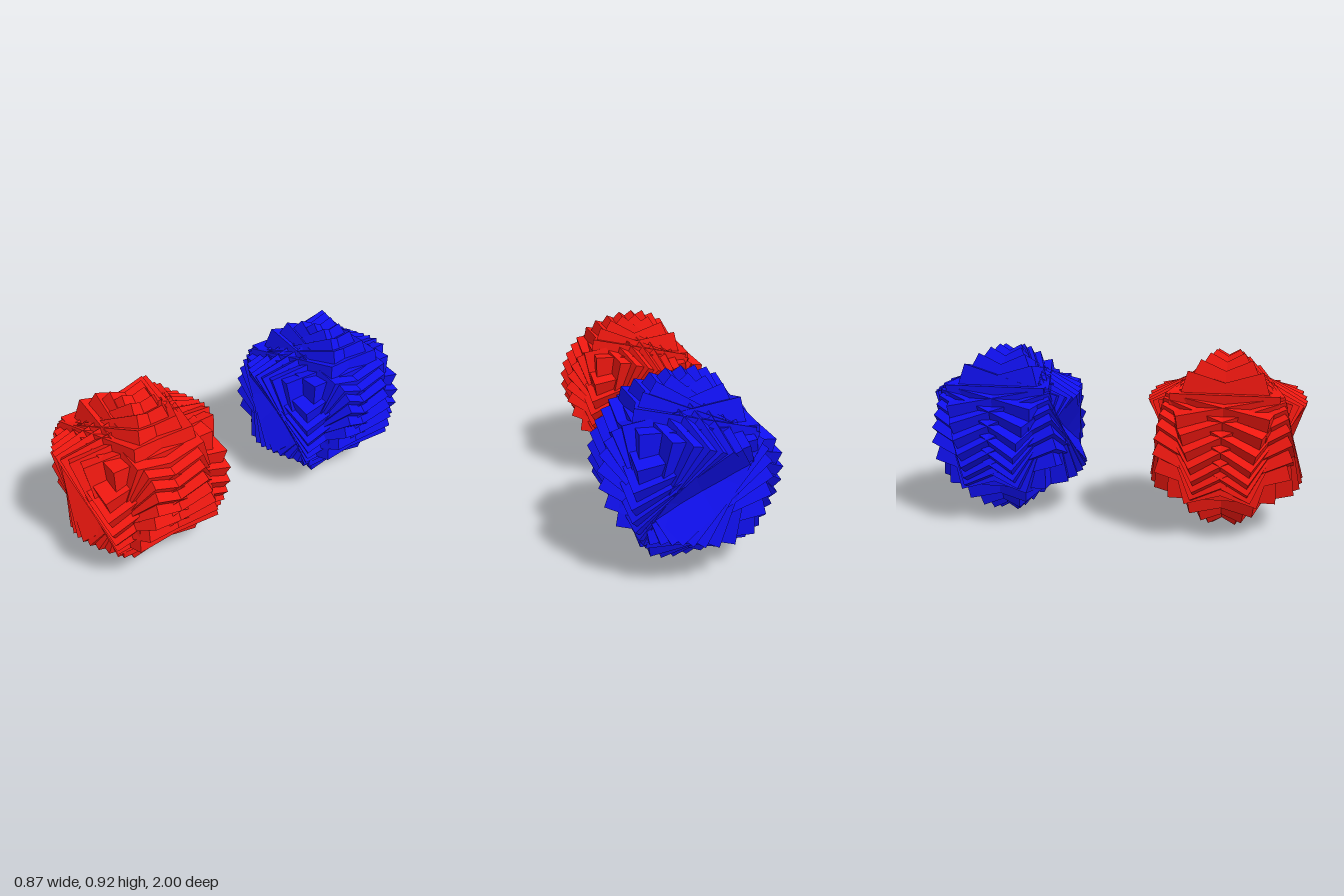
import * as THREE from 'three';

const HALF = 0.268;            // half side of each cube
const STEP = 10;               // spin between neighbouring cubes, degrees
const MAX_TILT = 31;           // strongest lean of a cube, degrees
const rad = THREE.MathUtils.degToRad;

// Orientation of one cube: spun about z, then leaned towards a drifting heading
function orientation(spin, side) {
  const lean = rad(side * MAX_TILT * Math.pow(Math.max(0, Math.sin(2 * rad(spin))), 0.6));
  const heading = rad(28 + 50 * Math.sin(rad(spin)));
  const axis = new THREE.Vector3(-Math.sin(heading), Math.cos(heading), 0);
  const turn = new THREE.Quaternion().setFromAxisAngle(new THREE.Vector3(0, 0, 1), rad(spin));
  return new THREE.Quaternion().setFromAxisAngle(axis, lean).multiply(turn);
}

// A ball made of many interpenetrating cubes sharing one centre
function createBall(name, color) {
  const ball = new THREE.Group();
  ball.name = name;
  const geometry = new THREE.BoxGeometry(2 * HALF, 2 * HALF, 2 * HALF);
  const material = new THREE.MeshStandardMaterial({ color, flatShading: true });
  for (let spin = 0; spin < 90; spin += STEP) {
    // the unleaned cube is its own mirror image
    for (const side of spin === 0 ? [1] : [1, -1]) {
      const cube = new THREE.Mesh(geometry, material);
      cube.name = 'turnedCube';
      cube.quaternion.copy(orientation(spin, side));
      ball.add(cube);
    }
  }
  return ball;
}

export function createModel() {
  const model = new THREE.Group();
  model.name = 'twistedCubeBalls';

  const front = createBall('redBall', 0xf01810);
  front.position.set(0, 0.4635, 0.592);
  const back = createBall('blueBall', 0x1010f0);
  back.position.set(0, 0.4635, -0.592);

  model.add(front, back);
  return model;
}
